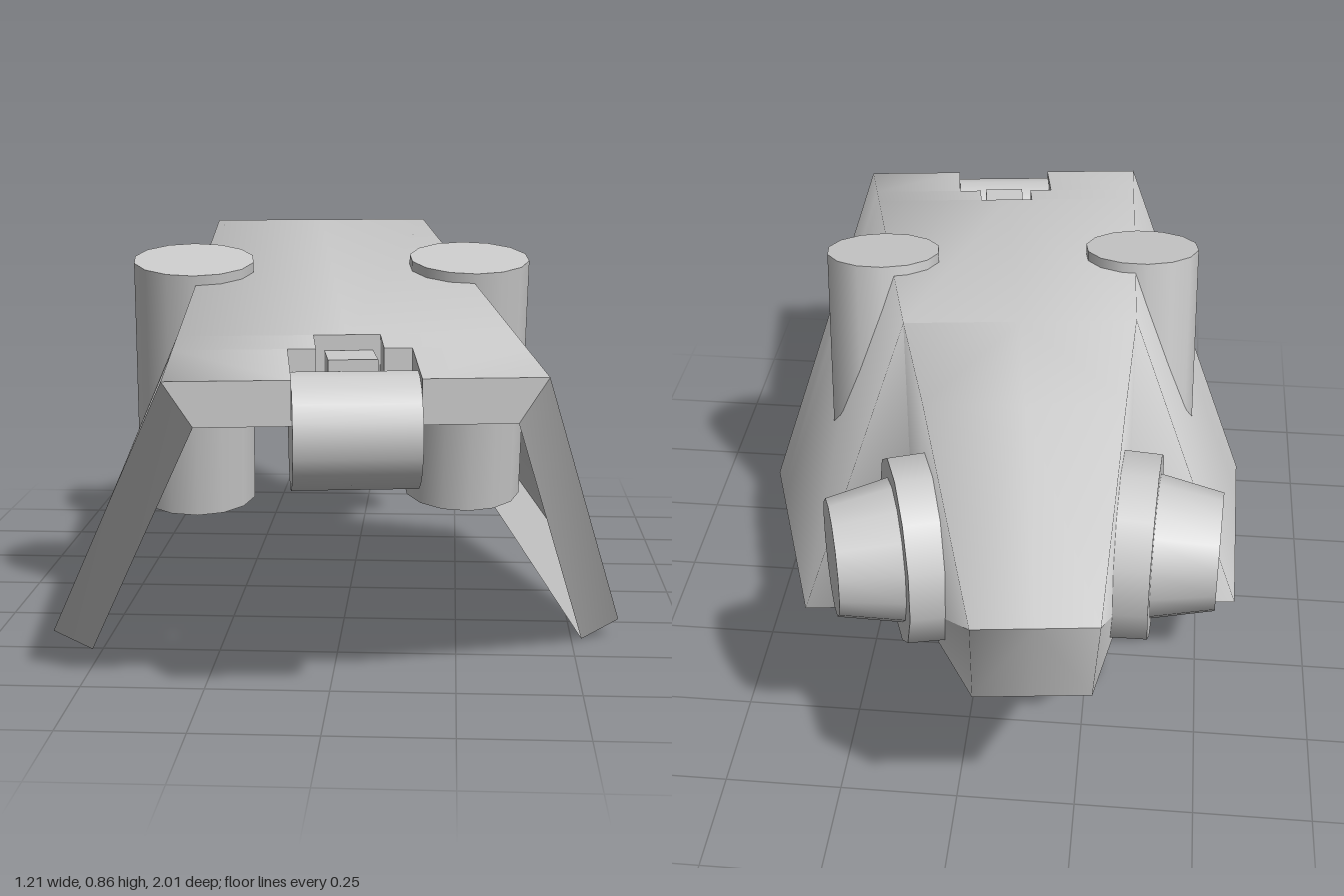
import * as THREE from 'three';
import { toCreasedNormals } from 'three/addons/utils/BufferGeometryUtils.js';

const material = new THREE.MeshStandardMaterial({ color: 0xcccccc });
const skinMaterial = new THREE.MeshStandardMaterial({ color: 0xcccccc, side: THREE.DoubleSide });

const V = (x, y, z) => new THREE.Vector3(x, y, z);
const mid = (p) => V(0, p.y, p.z);

// Collects polygons of the +x half and mirrors each one to -x
function mirroredSkin() {
  const pos = [];
  return {
    face(...p) {
      for (let i = 1; i < p.length - 1; i++) {
        const tri = [p[0], p[i], p[i + 1]];
        tri.forEach((v) => pos.push(v.x, v.y, v.z));
        tri.reverse().forEach((v) => pos.push(-v.x, v.y, v.z));
      }
    },
    mesh(name, crease) {
      const g = new THREE.BufferGeometry();
      g.setAttribute('position', new THREE.Float32BufferAttribute(pos, 3));
      const m = new THREE.Mesh(toCreasedNormals(g, crease), skinMaterial);
      m.name = name;
      return m;
    },
  };
}

// Cylinder centred at a point with its axis along a direction
function rod(name, center, dir, rTop, rBottom, length, sides) {
  const m = new THREE.Mesh(new THREE.CylinderGeometry(rTop, rBottom, length, sides), material);
  m.name = name;
  m.position.copy(center);
  m.quaternion.setFromUnitVectors(V(0, 1, 0), dir.clone().normalize());
  return m;
}

// Hollow shell: a single skin with a flange along the front and lower edges
function addHull(model) {
  // Outer corners: front, wing tip, wing rear, ridge; then the inner flange corners
  const F = V(0.353, 0.66, 0.954), T = V(0.608, 0.04, 0.431);
  const W = V(0.478, 0.23, -0.386), R = V(0.247, 0.86, -0.22);
  const iF = V(0.297, 0.575, 0.954), iT = V(0.526, 0, 0.44), iW = V(0.408, 0.175, -0.31);
  // Tail corners
  const M = V(0.205, 0.82, -0.48), E = V(0.12, 0.665, -1.002);
  const B = V(0.115, 0.445, -0.935), L = V(0.23, 0.25, -0.41);

  const skin = mirroredSkin(), rim = mirroredSkin();
  const on = (a, b, z) => a.clone().lerp(b, (F.z - z) / (F.z - R.z));

  // Roof and wings in rows, leaving a T-shaped notch at the front
  const rows = [[0.954, 0.775, 0.119], [0.775, 0.69, 0.065], [0.69, -0.22, 0]];
  for (const [z0, z1, notch] of rows) {
    const a = on(F, R, z0), b = on(F, R, z1);
    skin.face(V(notch, a.y, z0), a, b, V(notch, b.y, z1));
    skin.face(a, on(T, W, z0), on(T, W, z1), b);
  }

  // Rear bulkhead and tail
  skin.face(R, W, L);
  skin.face(L, M, R);
  skin.face(L, E, M);
  skin.face(L, B, E);
  skin.face(mid(R), R, M, mid(M));
  skin.face(mid(M), M, E, mid(E));
  skin.face(B, mid(B), mid(E), E);

  // Flange across the front, down the wings and along their lower edges
  rim.face(V(0.119, iF.y, F.z), iF, F, V(0.119, F.y, F.z));
  rim.face(F, iF, iT, T);
  rim.face(T, iT, iW, W);

  // Notch walls
  const path = [[0.119, 0.954], [0.119, 0.775], [0.065, 0.775], [0.065, 0.69], [0, 0.69]];
  for (let i = 0; i < path.length - 1; i++) {
    const [[x0, z0], [x1, z1]] = [path[i], path[i + 1]];
    const y0 = on(F, R, z0).y, y1 = on(F, R, z1).y;
    rim.face(V(x0, y0, z0), V(x1, y1, z1), V(x1, y1 - 0.085, z1), V(x0, y0 - 0.085, z0));
  }

  model.add(skin.mesh('hullSkin', 1.53), rim.mesh('hullRim', 0.5));
}

export function createModel() {
  const model = new THREE.Group();
  model.name = 'armouredHead';
  const body = new THREE.Group();
  body.name = 'body';
  body.rotation.y = 0.124;
  body.position.set(-0.054, 0, 0.006);
  model.add(body);

  addHull(body);

  for (const s of [1, -1]) {
    const side = s > 0 ? 'left' : 'right';

    // Upright posts through the roof, leaning slightly forward
    const lean = V(0, 0.985, 0.173);
    body.add(rod(side + 'Post', V(s * 0.302, 0.808, 0.217).addScaledVector(lean, -0.275), lean, 0.132, 0.132, 0.55, 14));

    // Rear side pods: a wide collar and a tapered cap
    const out = V(s * 0.985, 0, -0.174), end = V(s * 0.395, 0.535, -0.606);
    body.add(rod(side + 'PodCap', end.clone().addScaledVector(out, -0.07), out, 0.122, 0.152, 0.14, 14));
    body.add(rod(side + 'PodCollar', end.clone().addScaledVector(out, -0.185), out, 0.194, 0.198, 0.11, 12));
  }

  // Front roller and the arm that carries it
  body.add(rod('frontRoller', V(0, 0.553, 0.882), V(1, 0, 0), 0.111, 0.111, 0.237, 20));
  const arm = new THREE.Mesh(new THREE.BoxGeometry(0.095, 0.25, 0.12), material);
  arm.name = 'rollerArm';
  arm.position.set(0.003, 0.55, 0.755);
  body.add(arm);

  return model;
}
